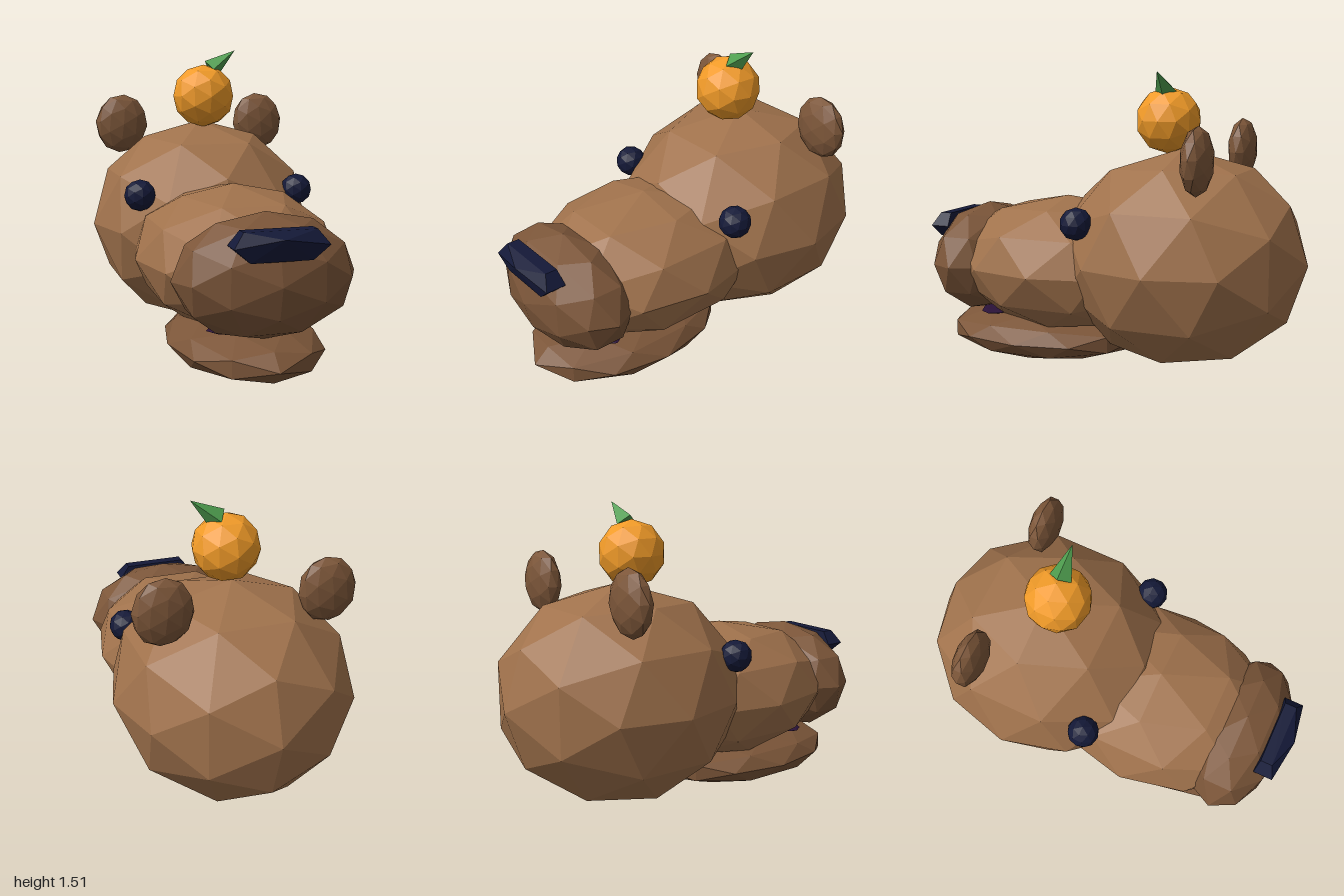
import * as THREE from 'three';
import { ConvexGeometry } from 'three/addons/geometries/ConvexGeometry.js';

const material = (color) => new THREE.MeshStandardMaterial({ color, flatShading: true });

export function createModel() {
  const model = new THREE.Group();
  const fur = material(0xa0724c);
  const darkFur = material(0x7c5639);
  const navy = material(0x141938);
  const purple = material(0x2a1238);
  const orange = material(0xf09a28);
  const green = material(0x4f9e4f);

  const add = (name, geometry, mat, position) => {
    const mesh = new THREE.Mesh(geometry, mat);
    mesh.name = name;
    mesh.position.set(...position);
    model.add(mesh);
    return mesh;
  };
  // Faceted ellipsoid with radii along x, y and z
  const blob = (name, mat, position, radii) =>
    add(name, new THREE.IcosahedronGeometry(1, 1).scale(...radii), mat, position);

  // Head and snout
  blob('head', fur, [0, 0.59, -0.37], [0.59, 0.545, 0.63]);
  blob('muzzle', fur, [0, 0.52, 0.26], [0.49, 0.35, 0.63]);
  blob('snoutTip', darkFur, [0, 0.52, 0.735], [0.43, 0.29, 0.24]);
  blob('lowerJaw', darkFur, [0, 0.138, 0.405], [0.37, 0.135, 0.545]);
  blob('mouth', purple, [0, 0.252, 0.62], [0.24, 0.018, 0.11]);

  // Wide faceted nose with a ridge across the front
  const nosePoints = [new THREE.Vector3(0, 0.73, 1)];
  for (const s of [-1, 1]) {
    for (const [x, y, z] of [
      [0.215, 0.695, 0.87], [0.215, 0.695, 0.97],
      [0.165, 0.76, 0.88], [0.165, 0.76, 0.94],
      [0.14, 0.63, 0.87], [0.14, 0.63, 0.96],
    ]) nosePoints.push(new THREE.Vector3(s * x, y, z));
  }
  add('nose', new ConvexGeometry(nosePoints), navy, [0, 0, 0]);

  // Eyes and ears, mirrored
  for (const [side, s] of [['left', 1], ['right', -1]]) {
    blob(side + 'Eye', navy, [s * 0.415, 0.793, 0.025], [0.08, 0.08, 0.08]);
    const ear = blob(side + 'Ear', darkFur, [s * 0.395, 1.11, -0.565], [0.145, 0.16, 0.07]);
    ear.rotation.z = s * 0.1;
  }

  // Fruit on the head, with a four-sided leaf leaning to the left
  blob('fruit', orange, [0, 1.27, -0.29], [0.165, 0.165, 0.165]);
  const leaf = add('leaf', new THREE.ConeGeometry(0.055, 0.166, 4), green, [0.1085, 1.46, -0.29]);
  leaf.rotation.z = -0.926;

  return model;
}
